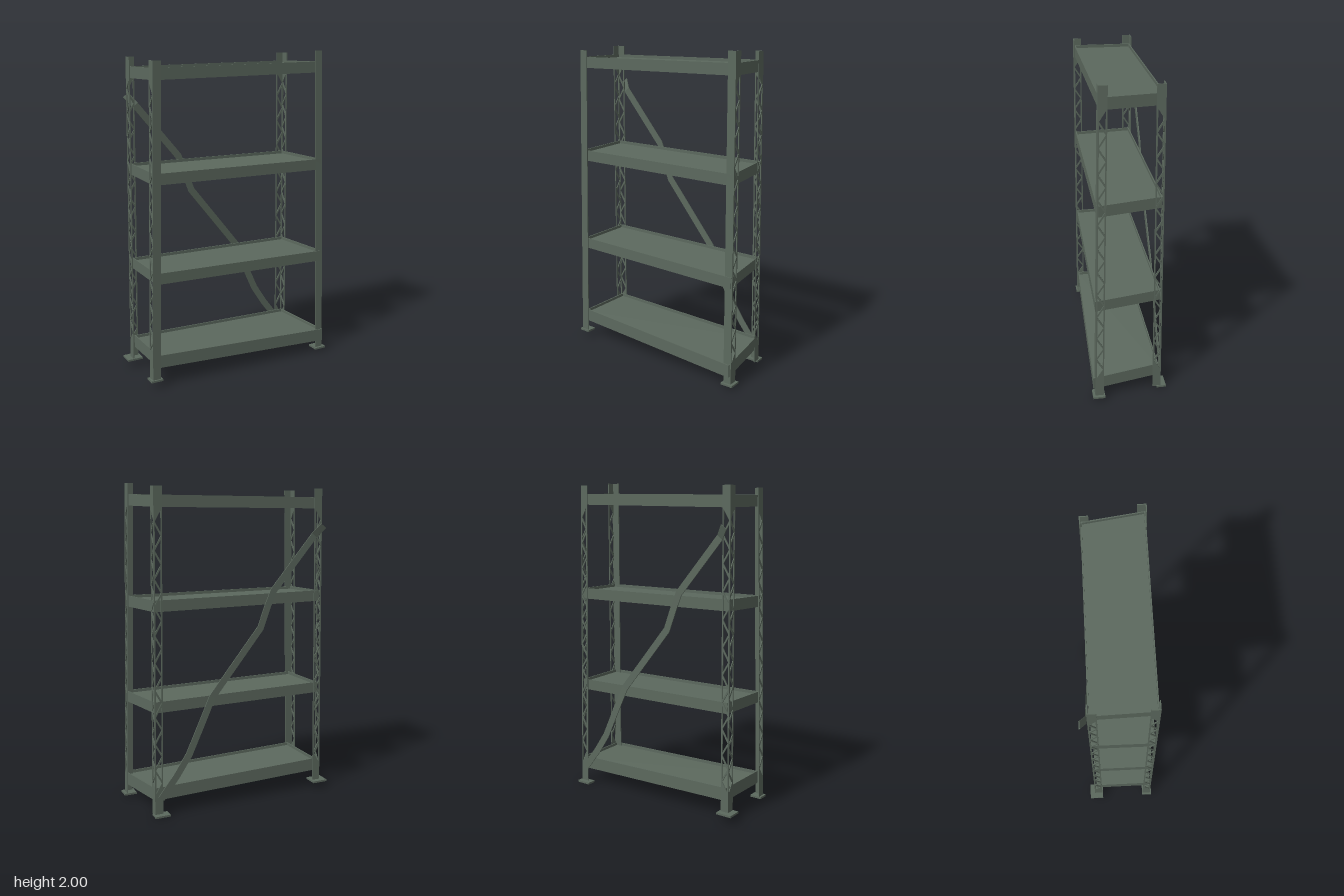
import * as THREE from 'three';

const V = (x, y, z) => new THREE.Vector3(x, y, z);

// Box whose eight corners are given: four of the lower face, four of the upper,
// each running front left, front right, back right, back left (as seen from the front).
function hexa(low, high) {
  const g = new THREE.BoxGeometry(1, 1, 1).toNonIndexed();
  const p = g.attributes.position;
  for (let i = 0; i < p.count; i++) {
    const face = p.getY(i) < 0 ? low : high;
    const front = p.getZ(i) > 0, plusX = p.getX(i) > 0;
    const c = face[front ? (plusX ? 1 : 0) : (plusX ? 2 : 3)];
    p.setXYZ(i, c.x, c.y, c.z);
  }
  g.computeVertexNormals();
  return g;
}

// Long plate with interlocking triangular cut-outs; x is its width, y runs 0 to 1
function flangeGeometry(width, slots) {
  const path = (Type, pts) => new Type(pts.map(a => new THREE.Vector2(...a)));
  const shape = path(THREE.Shape, [[0, 0], [width, 0], [width, 1], [0, 1]]);
  const rim = 0.008, step = 0.88 / (slots + 1);
  for (let i = 0; i < slots; i++) {
    const mid = 0.06 + (i + 1) * step, h = step * 0.76;
    const a = i % 2 ? width - rim : rim, b = width - a;
    shape.holes.push(path(THREE.Path, [[a, mid - h], [a, mid + h], [b, mid]]));
  }
  return new THREE.ExtrudeGeometry(shape, { depth: 0.006, bevelEnabled: false });
}

export function createModel() {
  const model = new THREE.Group();
  model.name = 'shelvingRack';
  const metal = new THREE.MeshStandardMaterial({ color: 0x5c695e, side: THREE.DoubleSide });
  metal.name = 'greyGreenMetal';
  const add = (name, geometry, parent = model) => {
    const m = new THREE.Mesh(geometry, metal);
    m.name = name;
    parent.add(m);
    return m;
  };

  // Slightly leaning posts: outer edge from bottom to top, and foot plate [x, y, z, width, depth]
  const posts = [
    { name: 'frontRightPost', bottom: V(-0.62, 0.045, 0.193), top: V(-0.575, 1.96, 0.182), foot: [-0.595, 0.045, 0.17, 0.075, 0.065] },
    { name: 'frontLeftPost', bottom: V(0.622, 0.025, 0.218), top: V(0.585, 2.0, 0.178), foot: [0.6, 0.022, 0.195, 0.08, 0.075] },
    { name: 'backLeftPost', bottom: V(0.565, 0.008, -0.206), top: V(0.538, 1.98, -0.194), foot: [0.525, 0.006, -0.21, 0.095, 0.06] },
    { name: 'backRightPost', bottom: V(-0.605, 0.045, -0.204), top: V(-0.583, 1.97, -0.194), foot: [-0.592, 0.05, -0.192, 0.1, 0.09] },
  ];
  const postAt = (post, y) =>
    post.bottom.clone().lerp(post.top, (y - post.bottom.y) / (post.top.y - post.bottom.y));

  for (const post of posts) {
    const group = new THREE.Group();
    group.name = post.name;
    model.add(group);
    const inX = -Math.sign(post.bottom.x), inZ = -Math.sign(post.bottom.z);
    // Angle section: one flange across the width, one along the depth
    for (const along of ['x', 'z']) {
      const slots = along === 'z' ? 22 : inZ > 0 ? 20 : 0;
      const g = flangeGeometry(0.052, slots);
      const p = g.attributes.position;
      for (let i = 0; i < p.count; i++) {
        const w = p.getX(i), t = p.getZ(i);
        const c = post.bottom.clone().lerp(post.top, p.getY(i));
        c.x += inX * (along === 'x' ? w : t);
        c.z += inZ * (along === 'x' ? t : w);
        p.setXYZ(i, c.x, c.y, c.z);
      }
      g.computeVertexNormals();
      add(along === 'x' ? 'wideFlange' : 'sideFlange', g, group);
    }
    // Foot plate
    const [x, y, z, w, d] = post.foot;
    add('foot', new THREE.BoxGeometry(w, 0.012, d), group).position.set(x, y, z);
  }

  // Shelves: rim heights at the four posts, and how far the front left corner bulges out
  const shelves = [
    { heights: [0.16, 0.115, 0.135, 0.16], bulge: 0.02 },
    { heights: [0.685, 0.67, 0.68, 0.69], bulge: 0.012 },
    { heights: [1.285, 1.282, 1.29, 1.295], bulge: 0.007 },
    { heights: [1.885, 1.9, 1.895, 1.88], bulge: 0 },
  ];
  shelves.forEach(({ heights, bulge }, n) => {
    const shelf = new THREE.Group();
    shelf.name = 'shelf' + (n + 1);
    model.add(shelf);
    const half = n ? 0.034 : 0.04;
    const ring = (inset, dy) => posts.map((post, i) => {
      const c = postAt(post, heights[i]);
      const x = Math.max(c.x, -0.586), z = Math.max(c.z, -0.196) + (i === 1 ? bulge : 0);
      return V(x - Math.sign(x) * inset, heights[i] + dy, z - Math.sign(z) * inset);
    });
    const [o0, o1, i0, i1] = [ring(0.007, -half), ring(0.007, half), ring(0.014, -half), ring(0.014, half)];
    // Rim beams on four sides
    const names = ['frontBeam', 'leftBeam', 'backBeam', 'rightBeam'];
    for (let k = 0; k < 4; k++) {
      const j = (k + 1) % 4;
      add(names[k], hexa([o0[k], o0[j], i0[j], i0[k]], [o1[k], o1[j], i1[j], i1[k]]), shelf);
    }
    // Sunken deck, nearly filling the rim
    add('deck', hexa(ring(0.012, 0.006 - half), ring(0.012, half - 0.018)), shelf);
  });

  // Bent diagonal brace across the back
  const path = [
    [-0.57, 1.74, -0.236], [-0.525, 1.68, -0.202], [-0.24, 1.345, -0.199], [-0.2, 1.25, -0.198],
    [-0.15, 1.115, -0.198], [0.18, 0.71, -0.2], [0.25, 0.56, -0.205], [0.34, 0.365, -0.206],
    [0.42, 0.245, -0.206], [0.525, 0.11, -0.206],
  ].map(a => V(...a));
  const sides = path.map((p, i) => {
    const d = path[Math.min(i + 1, path.length - 1)].clone().sub(path[Math.max(i - 1, 0)]).setZ(0).normalize();
    const n = V(-d.y, d.x, 0).multiplyScalar(0.022);
    return [p.clone().sub(n), p.clone().add(n)];
  });
  const brace = new THREE.Group();
  brace.name = 'diagonalBrace';
  model.add(brace);
  const back = v => V(v.x, v.y, v.z - 0.006);
  for (let i = 0; i < path.length - 1; i++) {
    const [a, b] = sides[i], [c, d] = sides[i + 1];
    add('braceSegment', hexa([a, c, back(c), back(a)], [b, d, back(d), back(b)]), brace);
  }
  return model;
}
